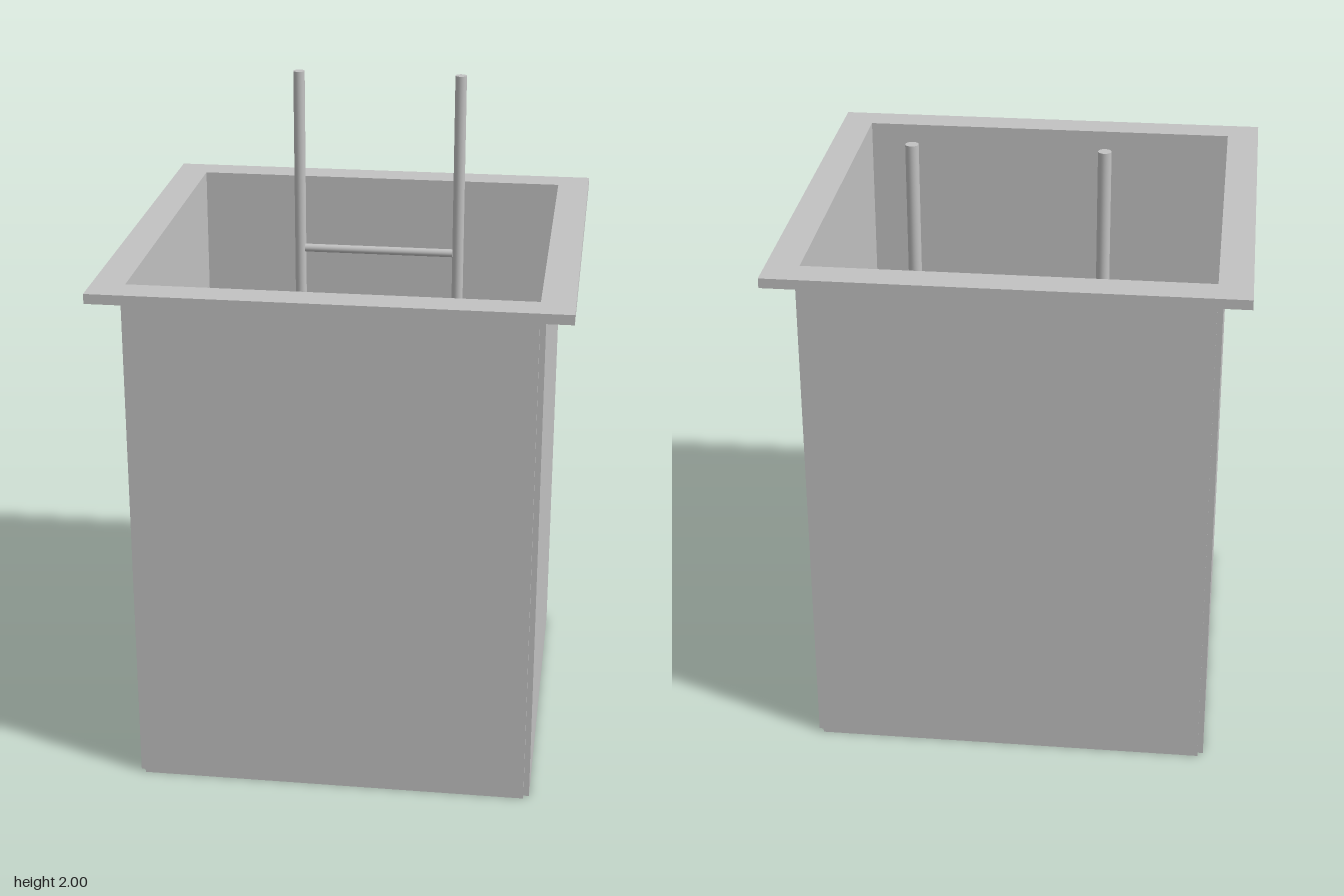
import * as THREE from 'three';

export function createModel() {
  const model = new THREE.Group();
  const grey = new THREE.MeshStandardMaterial({ color: 0xc2c2c2 });
  grey.name = 'light grey';

  const add = (parent, name, geometry, x, y, z) => {
    const mesh = new THREE.Mesh(geometry, grey);
    mesh.name = name;
    mesh.position.set(x, y, z);
    parent.add(mesh);
    return mesh;
  };

  const inner = 1.2;        // clear inside width
  const wall = 0.017;       // wall thickness
  const wallTop = 1.6;
  const rimWidth = 0.1;
  const rimThick = 0.03;

  // Open tank: floor and four panels that leave a small notch at each corner
  const tank = new THREE.Group();
  tank.name = 'tank';
  model.add(tank);
  add(tank, 'floor', new THREE.BoxGeometry(inner, wall, inner), 0, wall / 2, 0);
  const wallAt = (inner + wall) / 2;
  const frontPanel = new THREE.BoxGeometry(inner, wallTop, wall);
  const sidePanel = new THREE.BoxGeometry(wall, wallTop, inner);
  add(tank, 'frontWall', frontPanel, 0, wallTop / 2, wallAt);
  add(tank, 'backWall', frontPanel, 0, wallTop / 2, -wallAt);
  add(tank, 'leftWall', sidePanel, wallAt, wallTop / 2, 0);
  add(tank, 'rightWall', sidePanel, -wallAt, wallTop / 2, 0);

  // Flat rim: long strips front and back, short strips between them
  const rim = new THREE.Group();
  rim.name = 'rim';
  model.add(rim);
  const rimAt = (inner + rimWidth) / 2;
  const rimY = wallTop + rimThick / 2;
  const longStrip = new THREE.BoxGeometry(inner + 2 * rimWidth, rimThick, rimWidth);
  const shortStrip = new THREE.BoxGeometry(rimWidth, rimThick, inner);
  add(rim, 'frontRim', longStrip, 0, rimY, rimAt);
  add(rim, 'backRim', longStrip, 0, rimY, -rimAt);
  add(rim, 'leftRim', shortStrip, rimAt, rimY, 0);
  add(rim, 'rightRim', shortStrip, -rimAt, rimY, 0);

  // Ladder against the back wall: two tall rails and evenly spaced rungs
  const ladder = new THREE.Group();
  ladder.name = 'ladder';
  model.add(ladder);
  const railHeight = 2 - wall;
  const rail = new THREE.CylinderGeometry(0.019, 0.019, railHeight, 24);
  add(ladder, 'leftRail', rail, 0.27, wall + railHeight / 2, -0.563);
  add(ladder, 'rightRail', rail, -0.27, wall + railHeight / 2, -0.563);
  const rung = new THREE.CylinderGeometry(0.0135, 0.0135, 0.505, 20).rotateZ(Math.PI / 2);
  for (let i = 0; i < 7; i++) {
    add(ladder, 'rung', rung, 0, 1.39 - i * 0.205, -0.554);
  }

  return model;
}
